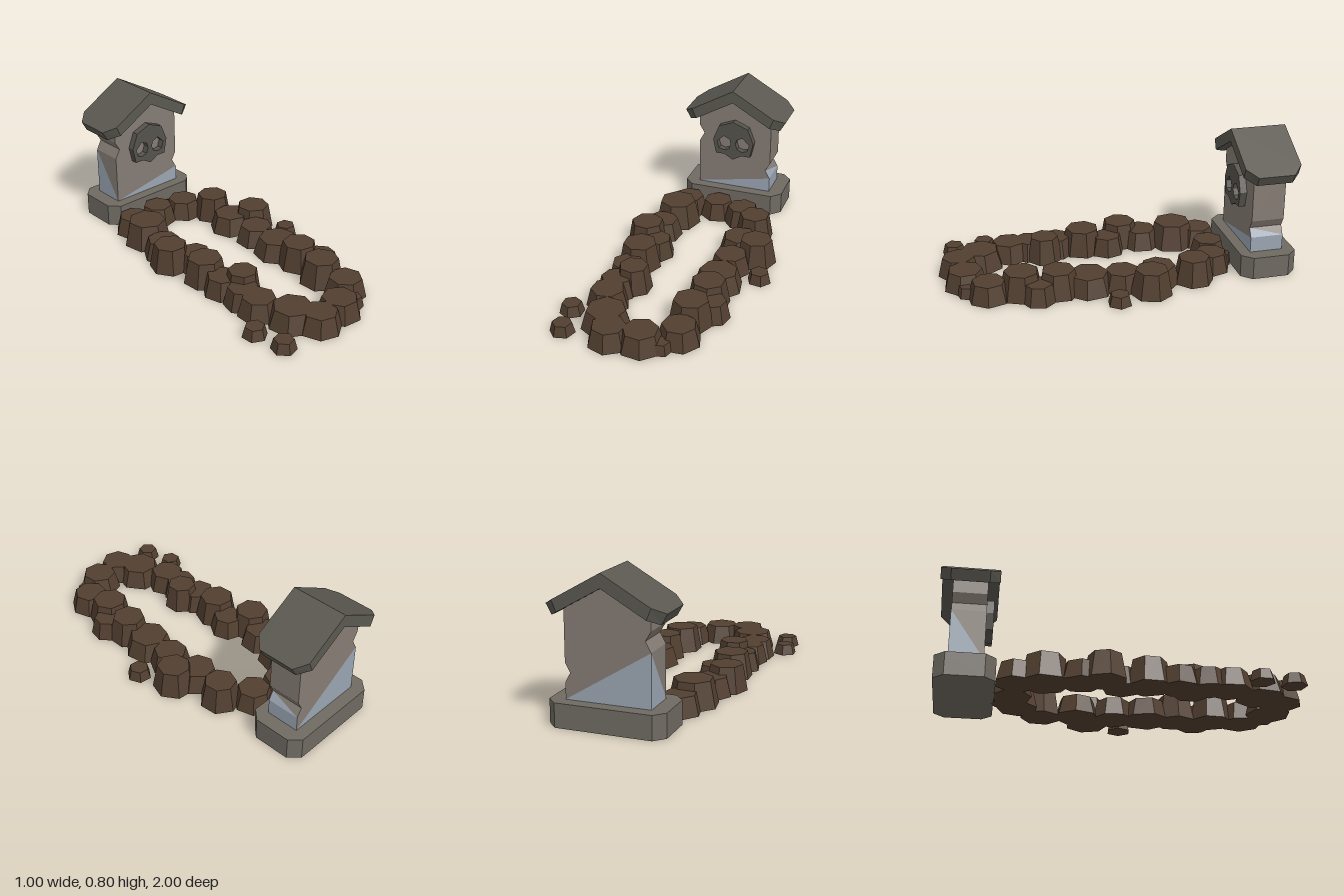
import * as THREE from 'three';

const CX = 0.02; // centre line of the gravestone
const CZ = -0.8375;

const mat = (color) => new THREE.MeshStandardMaterial({ color, flatShading: true });
const poly = (pts) => pts.map(([x, y]) => new THREE.Vector2(x, y));
const extrude = (shape, depth) => new THREE.ExtrudeGeometry(shape, { depth, bevelEnabled: false });

function add(parent, name, geometry, material, x = 0, y = 0, z = 0) {
  const mesh = new THREE.Mesh(geometry, material);
  mesh.name = name;
  mesh.position.set(x, y, z);
  parent.add(mesh);
  return mesh;
}

// One sloping roof half: a chamfered plan, tilted, with its eave square to the slope
function roofHalf() {
  const shape = new THREE.Shape(poly([
    [0, -0.1625], [0.26, -0.1625], [0.32, -0.105], [0.32, 0.105], [0.26, 0.1625], [0, 0.1625],
  ]));
  const g = extrude(shape, 1).rotateX(-Math.PI / 2);
  const p = g.attributes.position;
  for (let i = 0; i < p.count; i++) {
    const top = p.getY(i) > 0.5;
    const x = p.getX(i) * (top ? 1 : 0.9);
    p.setX(i, x);
    p.setY(i, (top ? 0.8 : 0.725) - 0.572 * x);
  }
  g.computeVertexNormals();
  return g;
}

function createGravestone() {
  const stone = new THREE.Group();
  stone.name = 'gravestone';

  // Plinth with cut corners
  const plinth = new THREE.Shape(poly([
    [-0.315, -0.105], [-0.26, -0.1625], [0.26, -0.1625], [0.315, -0.105],
    [0.315, 0.105], [0.26, 0.1625], [-0.26, 0.1625], [-0.315, 0.105],
  ]));
  add(stone, 'plinth', extrude(plinth, 0.13).rotateX(-Math.PI / 2), mat(0x6f6a62), CX, 0, CZ);

  // Slab with a chipped notch on each side
  const slab = new THREE.Shape(poly([
    [-0.21, 0.12], [0.25, 0.12], [0.25, 0.22], [0.222, 0.27], [0.25, 0.32], [0.25, 0.61],
    [0.02, 0.74], [-0.21, 0.61], [-0.21, 0.52], [-0.18, 0.47], [-0.21, 0.415],
  ]));
  add(stone, 'slab', extrude(slab, 0.19), mat(0x857c74), 0, 0, -0.93);

  // Pale facets at the foot of the slab
  const l = -0.211, r = 0.251, f = -0.739, b = -0.931, y = 0.13;
  const facets = [
    [l, y, f], [r, y, f], [r, 0.22, f],
    [r, y, f], [r, y, b], [r, 0.22, b],
    [r, y, f], [r, 0.22, b], [r, 0.22, f],
    [r, 0.22, f], [r, 0.22, b], [0.223, 0.27, f],
    [r, y, b], [l, y, b], [l, 0.415, b],
    [l, y, b], [l, y, f], [l, 0.415, b],
  ];
  const pale = new THREE.BufferGeometry();
  pale.setAttribute('position', new THREE.Float32BufferAttribute(facets.flat(), 3));
  pale.computeVertexNormals();
  add(stone, 'paleFacets', pale, mat(0x9aa5b2));

  // Roof
  const half = roofHalf();
  const roofMat = mat(0x5a5850);
  add(stone, 'roofLeft', half, roofMat, CX, 0, CZ);
  add(stone, 'roofRight', half, roofMat, CX, 0, CZ).rotation.y = Math.PI;

  // Skull plaque with two eye holes
  const side = [[0.055, 0.365], [0.11, 0.365], [0.13, 0.457], [0.093, 0.55]];
  const mirror = (pts) => pts.map(([x, v]) => [-x, v]).reverse();
  const skull = new THREE.Shape(poly([[0, 0.333], ...side, [0, 0.587], ...mirror(side)]));
  const eye = [[0.015, 0.438], [0.028, 0.403], [0.06, 0.393], [0.09, 0.402],
    [0.104, 0.445], [0.06, 0.487], [0.022, 0.468]];
  skull.holes.push(new THREE.Path(poly(eye)), new THREE.Path(poly(mirror(eye))));
  add(stone, 'skull', extrude(skull, 0.045), mat(0x55524c), CX, 0, -0.745);
  return stone;
}

// Border stones: x, z, radius, height
const TALL = 0.147, LOW = 0.107, TINY = 0.06;
const STONES = [
  [-0.22, -0.57, 0.115, LOW], [-0.03, -0.58, 0.11, LOW], [0.14, -0.54, 0.115, LOW],
  [0.26, -0.4, 0.115, TALL], [0.23, -0.2, 0.125, LOW], [0.35, -0.13, 0.12, TALL],
  [0.24, 0.01, 0.12, LOW], [0.23, 0.2, 0.14, LOW], [0.23, 0.37, 0.12, TALL],
  [0.29, 0.49, 0.1, LOW], [0.2, 0.57, 0.125, TALL], [0.2, 0.75, 0.12, LOW],
  [0.03, 0.86, 0.125, LOW], [-0.14, 0.88, 0.12, LOW], [-0.21, 0.75, 0.14, LOW],
  [-0.28, 0.57, 0.12, LOW], [-0.28, 0.45, 0.11, LOW], [-0.21, 0.37, 0.105, TALL],
  [-0.28, 0.29, 0.115, LOW], [-0.27, 0.13, 0.125, TALL], [-0.22, -0.01, 0.105, LOW],
  [-0.32, -0.11, 0.12, TALL], [-0.27, -0.23, 0.12, LOW], [-0.24, -0.42, 0.14, TALL],
  [0.08, -0.63, 0.06, TINY], [0.14, 0.86, 0.06, TINY],
  [0.43, 0.07, 0.07, TINY], [-0.435, 0.7, 0.07, TINY], [-0.405, 0.88, 0.07, TINY],
];

function createBorder() {
  const border = new THREE.Group();
  border.name = 'stoneBorder';
  const earth = mat(0x523f30);
  STONES.forEach(([x, z, r, h], i) => {
    const g = new THREE.CylinderGeometry(r * 0.77, r, h, h === TINY ? 6 : 7);
    add(border, 'borderStone', g, earth, x, h / 2, z).rotation.y = i * 0.7;
  });
  return border;
}

export function createModel() {
  const model = new THREE.Group();
  model.name = 'grave';
  model.add(createGravestone(), createBorder());
  return model;
}
